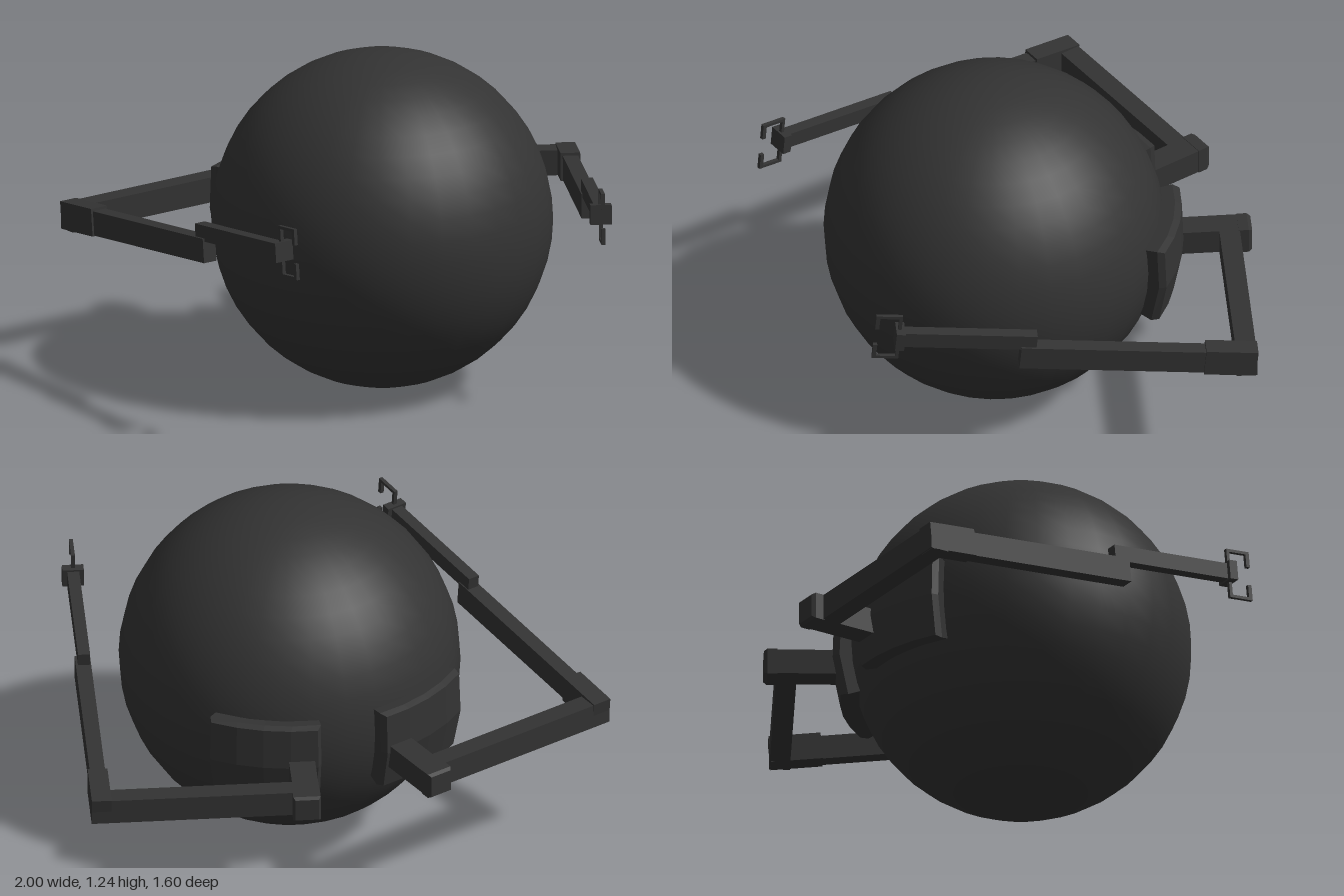
import * as THREE from 'three';

const dark = new THREE.MeshStandardMaterial({ color: 0x333333 });
dark.name = 'dark grey';

function add(parent, name, geometry) {
  const mesh = new THREE.Mesh(geometry, dark);
  mesh.name = name;
  parent.add(mesh);
  return mesh;
}

// Box given by its extents; s mirrors it in x
function block(parent, name, s, [x0, x1], [y0, y1], [z0, z1]) {
  const mesh = add(parent, name, new THREE.BoxGeometry(x1 - x0, y1 - y0, z1 - z0));
  mesh.position.set(s * (x0 + x1) / 2, (y0 + y1) / 2, (z0 + z1) / 2);
  return mesh;
}

// Curved pad hugging the ball, with a bevelled outer rim
function padGeometry(s) {
  const rad = THREE.MathUtils.degToRad;
  const geo = new THREE.BoxGeometry(2, 2, 2, 4, 2, 2);
  const p = geo.attributes.position;
  for (let i = 0; i < p.count; i++) {
    const layer = p.getZ(i) + 1;
    const r = [0.59, 0.665, 0.688][layer];
    const shrink = layer === 2 ? 0.93 : 1;
    const lon = rad(s * 28 - p.getX(i) * 18 * shrink);
    const lat = rad(-4.3 + p.getY(i) * 14 * shrink);
    p.setXYZ(i, r * Math.cos(lat) * Math.sin(lon), r * Math.sin(lat),
      -r * Math.cos(lat) * Math.cos(lon));
  }
  const flat = geo.toNonIndexed();
  flat.computeVertexNormals();
  return flat;
}

// Square end cap with its rear face drawn in
function capGeometry() {
  const geo = new THREE.BoxGeometry(0.1, 0.1, 0.05, 1, 1, 2);
  const p = geo.attributes.position;
  for (let i = 0; i < p.count; i++) {
    if (p.getZ(i) < -0.01) p.setXY(i, p.getX(i) * 0.85, p.getY(i) * 0.85);
    else if (p.getZ(i) < 0.01) p.setZ(i, -0.012);
  }
  const flat = geo.toNonIndexed();
  flat.computeVertexNormals();
  return flat;
}

function buildArm(s) {
  // Shoulder frame: origin at the outer rear corner of the elbow
  const arm = new THREE.Group();
  arm.name = s > 0 ? 'leftArm' : 'rightArm';
  arm.position.set(s * 1.0, 0.557, -0.55);
  arm.rotation.y = -s * 0.267;

  block(arm, 'mountStem', s, [-0.83, -0.735], [-0.05, 0.045], [-0.02, 0.29]);
  add(arm, 'stemCap', capGeometry()).position.set(s * -0.781, -0.003, -0.02);
  block(arm, 'upperArm', s, [-0.74, 0], [-0.05, 0.045], [0, 0.075]);

  // Forearm, pitched slightly upwards
  const fore = new THREE.Group();
  fore.name = 'forearm';
  fore.rotation.x = -0.096;
  arm.add(fore);
  block(fore, 'elbow', s, [-0.072, 0], [-0.053, 0.05], [0, 0.19]);
  block(fore, 'forearmBeam', s, [-0.064, -0.008], [-0.051, 0.04], [0.18, 0.865]);
  block(fore, 'forearmRod', s, [-0.06, -0.016], [0.028, 0.088], [0.81, 1.31]);
  block(fore, 'wristPlate', s, [-0.077, 0.001], [0.022, 0.095], [1.295, 1.328]);

  // Two hooked gripper fingers
  const x = [-0.045, -0.031];
  for (const d of [1, -1]) {
    const span = (a, b) => [0.058 + Math.min(d * a, d * b), 0.058 + Math.max(d * a, d * b)];
    block(fore, 'fingerRoot', s, x, span(0.03, 0.095), [1.308, 1.32]);
    block(fore, 'fingerBar', s, x, span(0.084, 0.095), [1.308, 1.405]);
    block(fore, 'fingerTip', s, x, span(0.035, 0.095), [1.39, 1.405]);
  }
  return arm;
}

export function createModel() {
  const model = new THREE.Group();
  model.name = 'ballWithArms';

  add(model, 'ball', new THREE.SphereGeometry(0.621, 32, 24)).position.set(0, 0.625, 0.098);

  for (const s of [1, -1]) {
    add(model, s > 0 ? 'leftPad' : 'rightPad', padGeometry(s)).position.set(0, 0.625, 0.098);
    model.add(buildArm(s));
  }
  return model;
}
